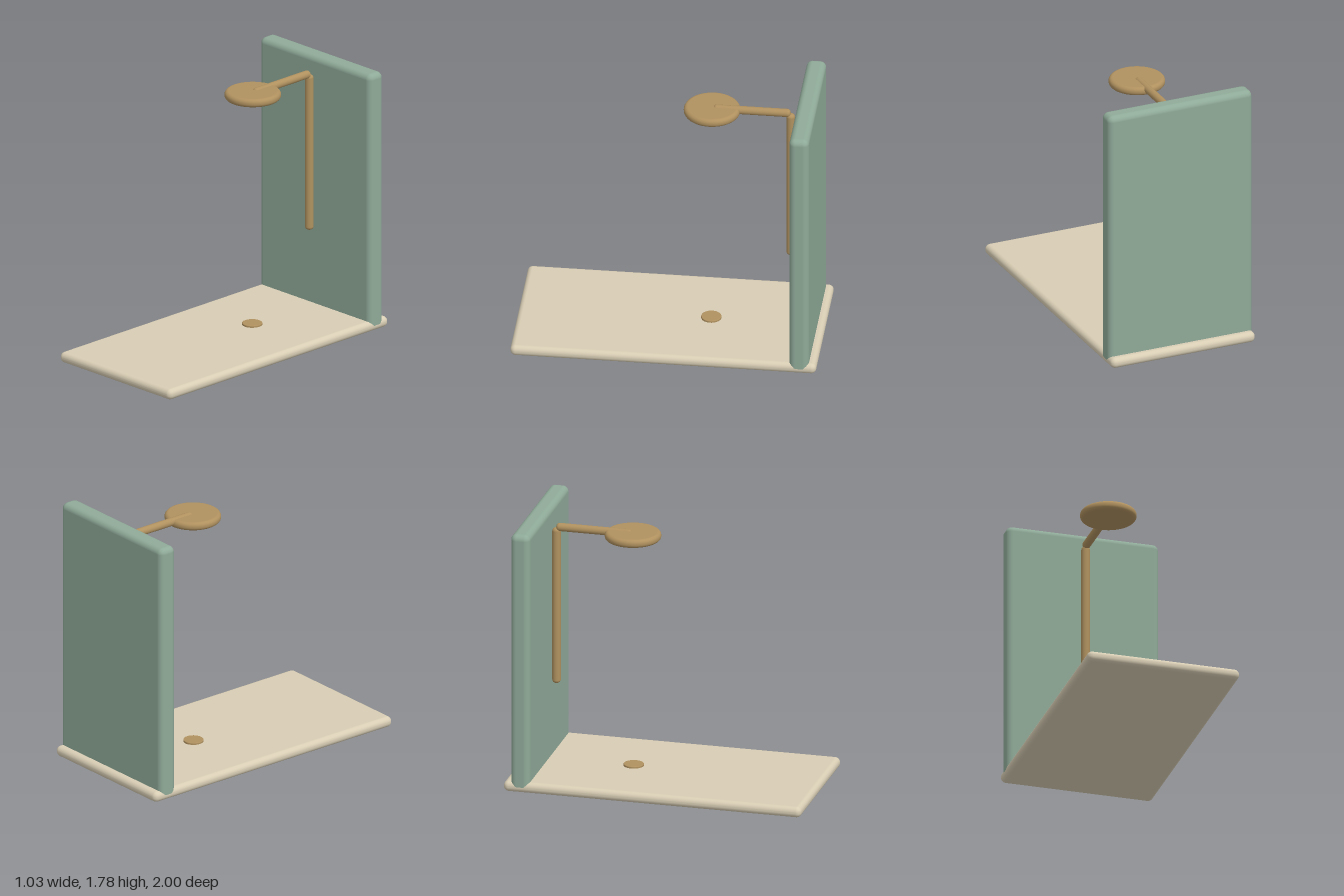
import * as THREE from 'three';
import { RoundedBoxGeometry } from 'three/addons/geometries/RoundedBoxGeometry.js';

const stone = new THREE.MeshStandardMaterial({ color: 0xd8cdb4 });
const green = new THREE.MeshStandardMaterial({ color: 0x8faa98 });
const brass = new THREE.MeshStandardMaterial({ color: 0xb0915f });

// Solid disc or rod along y, centred, with rounded rims
function roundedCylinder(radius, height, bevel, segments = 48) {
  const points = [new THREE.Vector2(0, -height / 2)];
  for (const end of [-1, 1]) {
    for (let i = 0; i <= 8; i++) {
      const t = (i / 8) * Math.PI / 2;
      const a = end < 0 ? t - Math.PI / 2 : t;
      points.push(new THREE.Vector2(
        radius - bevel + bevel * Math.cos(a),
        end * (height / 2 - bevel) + bevel * Math.sin(a)
      ));
    }
  }
  points.push(new THREE.Vector2(0, height / 2));
  return new THREE.LatheGeometry(points, segments);
}

export function createModel() {
  const model = new THREE.Group();
  model.name = 'shower';

  const add = (name, geometry, material, x, y, z) => {
    const mesh = new THREE.Mesh(geometry, material);
    mesh.name = name;
    mesh.position.set(x, y, z);
    model.add(mesh);
    return mesh;
  };

  // Floor tray and back wall
  add('floorTray', new RoundedBoxGeometry(1.03, 0.072, 2, 6, 0.034), stone, 0, 0.036, 0);
  add('backWall', new RoundedBoxGeometry(1.03, 1.778, 0.128, 6, 0.04), green, 0, 0.89, -0.888);

  // Upright pipe and the arm reaching forward from its top
  add('riserPipe', roundedCylinder(0.028, 1.072, 0.022, 32), brass, 0, 1.131, -0.776);
  const arm = add('showerArm', roundedCylinder(0.027, 0.506, 0.022, 32), brass, 0, 1.673, -0.523);
  arm.rotation.x = Math.PI / 2;

  // Round shower head and the drain cover below it
  add('showerHead', roundedCylinder(0.184, 0.057, 0.026, 64), brass, 0, 1.662, -0.262);
  add('drainCover', roundedCylinder(0.066, 0.018, 0.004), brass, 0, 0.076, -0.257);

  return model;
}
